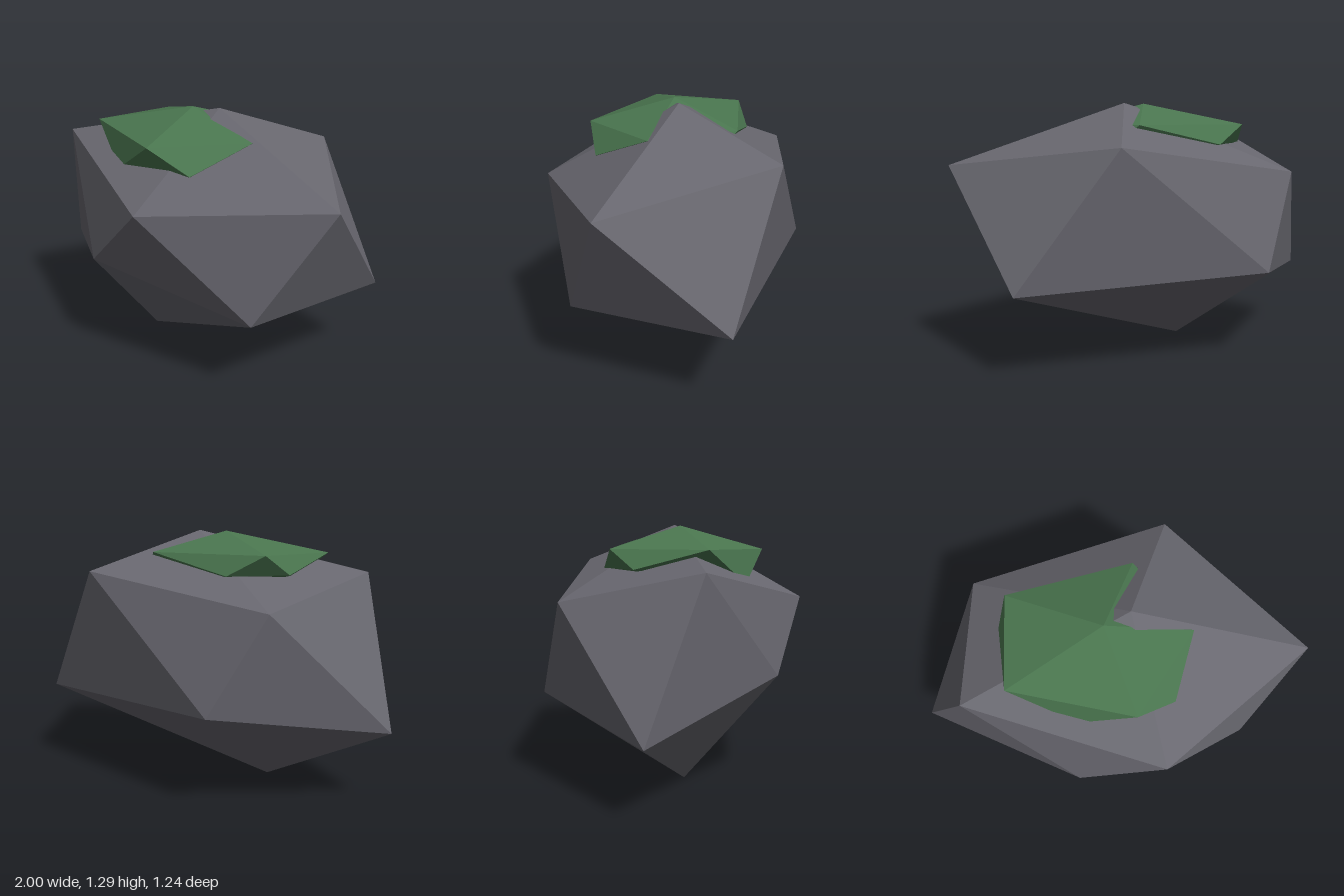
import * as THREE from 'three';

// Irregular 20-sided boulder: apex, two staggered rings of five, and base point.
// Rings run counter-clockwise seen from above; lower[i] sits between upper[i] and upper[i+1].
function facetedStone(name, material, apex, upper, lower, base) {
  const positions = [];
  const face = (...corners) => corners.forEach((p) => positions.push(...p));
  for (let i = 0; i < 5; i++) {
    const j = (i + 1) % 5;
    face(apex, upper[i], upper[j]);
    face(upper[i], lower[i], upper[j]);
    face(lower[i], lower[j], upper[j]);
    face(base, lower[j], lower[i]);
  }
  const geometry = new THREE.BufferGeometry();
  geometry.setAttribute('position', new THREE.Float32BufferAttribute(positions, 3));
  geometry.computeVertexNormals();
  const mesh = new THREE.Mesh(geometry, material);
  mesh.name = name;
  return mesh;
}

export function createModel() {
  const stone = new THREE.MeshStandardMaterial({ color: 0x68676f, flatShading: true });
  stone.name = 'grey stone';
  const moss = new THREE.MeshStandardMaterial({ color: 0x4a764f, flatShading: true });
  moss.name = 'green moss';

  const model = new THREE.Group();
  model.name = 'mossyRock';

  // Main rock
  model.add(facetedStone('rock', stone,
    [0.11, 1.29, -0.05],
    [[-0.71, 1.09, 0.31], [0.26, 0.905, 0.615], [0.995, 0.985, 0.05], [0.32, 1.09, -0.62], [-0.68, 0.94, -0.4]],
    [[-0.17, 0.545, 0.56], [0.72, 0.415, 0.3], [0.8, 0.425, -0.52], [-0.46, 0.46, -0.58], [-1, 0.36, 0.11]],
    [-0.25, 0, 0.095]));

  // Moss patch, partly sunk into the top of the rock
  model.add(facetedStone('mossPatch', moss,
    [-0.02, 1.287, 0.015],
    [[-0.49, 1.18, 0.275], [0.12, 1.165, 0.425], [0.41, 1.175, 0.01], [0.138, 1.183, -0.357], [-0.49, 1.18, -0.21]],
    [[-0.16, 1.0, 0.39], [0.31, 1.045, 0.32], [0.33, 1.0, -0.22], [-0.32, 1.08, -0.3], [-0.53, 1.085, -0.08]],
    [-0.05, 0.95, 0]));

  return model;
}
